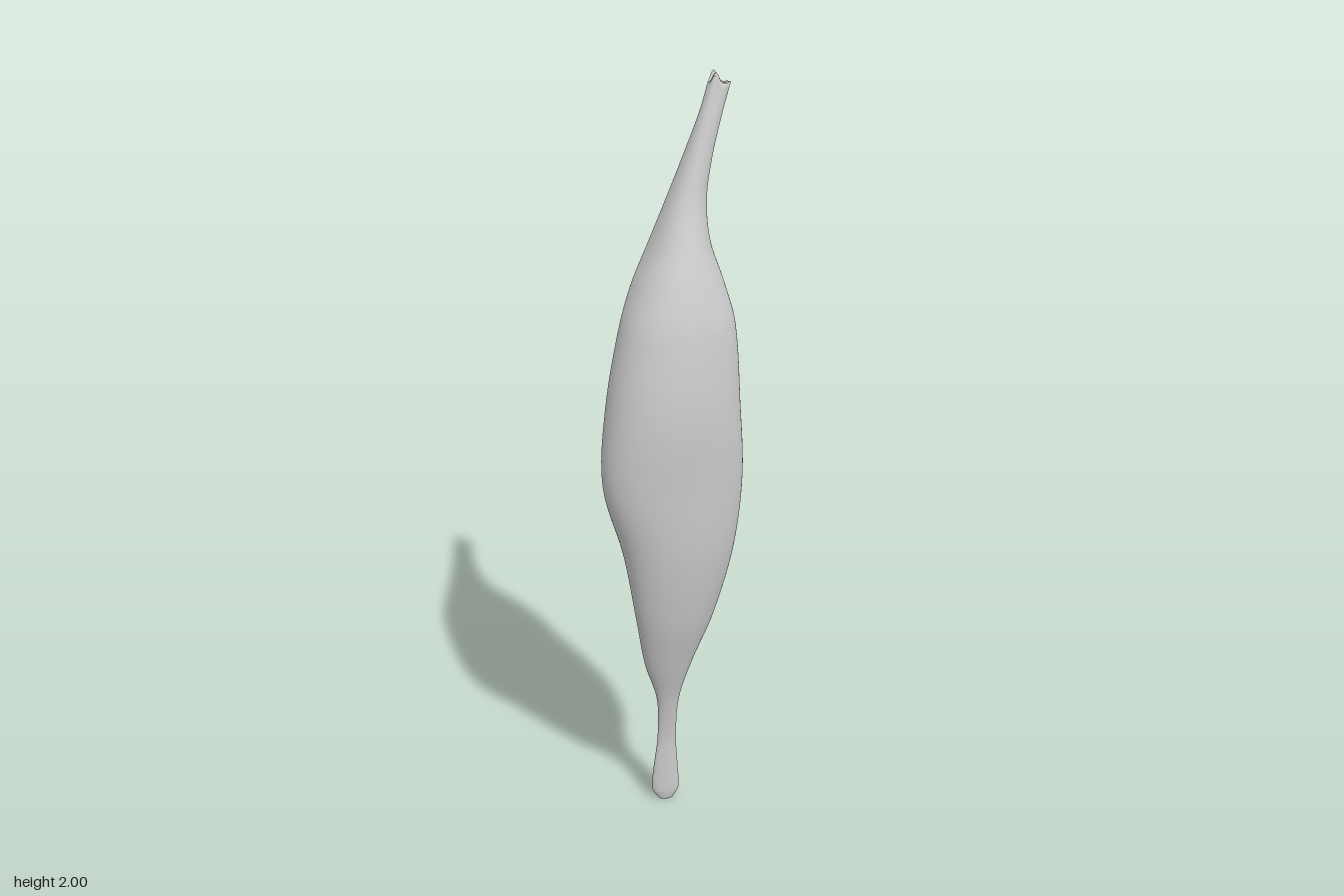
import * as THREE from 'three';

// Cross-sections: height, x of both edges, z of both edges,
// front bulge, back bulge, hollow in the back
const SECTIONS = [
  [0.0, -0.02, 0.018, -0.066, -0.066, 0.009, 0.009, 0],
  [0.03, -0.038, 0.034, -0.067, -0.067, 0.015, 0.015, 0],
  [0.1, -0.035, 0.031, -0.064, -0.064, 0.013, 0.014, 0],
  [0.2, -0.025, 0.025, -0.058, -0.058, 0.01, 0.01, 0],
  [0.33, -0.03, 0.03, -0.043, -0.043, 0.018, 0.014, 0],
  [0.45, -0.065, 0.061, -0.026, -0.028, 0.038, 0.026, 0],
  [0.6, -0.092, 0.116, -0.002, -0.018, 0.063, 0.038, 0],
  [0.8, -0.127, 0.162, 0.014, 0.0, 0.081, 0.05, 0],
  [1.0, -0.178, 0.179, 0.016, 0.012, 0.09, 0.05, 0.01],
  [1.2, -0.166, 0.171, 0.0, 0.008, 0.108, 0.034, 0.024],
  [1.4, -0.126, 0.161, -0.022, -0.012, 0.106, 0.03, 0.024],
  [1.5, -0.09, 0.137, -0.05, -0.035, 0.103, 0.023, 0.02],
  [1.6, -0.041, 0.106, -0.072, -0.05, 0.081, 0.018, 0.01],
  [1.7, 0.003, 0.1, -0.079, -0.065, 0.052, 0.019, 0],
  [1.8, 0.045, 0.116, -0.085, -0.077, 0.036, 0.016, 0],
  [1.9, 0.085, 0.144, -0.09, -0.094, 0.025, 0.013, 0],
  [1.97, 0.109, 0.167, -0.098, -0.106, 0.016, 0.01, 0],
];

// Smooth blend between neighbouring sections, allowing uneven spacing
function sectionAt(i, t) {
  const last = SECTIONS.length - 1;
  const at = (k) => SECTIONS[Math.max(0, Math.min(last, k))];
  const slope = (k, n) => (at(k + 1)[n] - at(k - 1)[n]) / (at(k + 1)[0] - at(k - 1)[0]);
  const a = at(i), b = at(i + 1), d = b[0] - a[0];
  const t2 = t * t, t3 = t2 * t;
  return a.map((v, n) => n === 0 ? v + d * t
    : v * (2 * t3 - 3 * t2 + 1) + b[n] * (3 * t2 - 2 * t3)
      + d * (slope(i, n) * (t3 - 2 * t2 + t) + slope(i + 1, n) * (t3 - t2)));
}

function bodyGeometry(sides = 64, steps = 6) {
  const positions = [], index = [];
  const rows = [];
  for (let i = 0; i < SECTIONS.length - 1; i++) {
    for (let s = 0; s < steps; s++) rows.push(sectionAt(i, s / steps));
  }
  rows.push(SECTIONS[SECTIONS.length - 1]);

  for (const [y, xl, xr, zl, zr, front, back, hollow] of rows) {
    const tipWeight = Math.max(0, (y - 1.92) / 0.05);
    // The belly's crest leans to one side
    const skew = 0.18 * THREE.MathUtils.smoothstep(y, 0.5, 1.1);
    for (let j = 0; j < sides; j++) {
      const angle = (j / sides) * Math.PI * 2;
      const u = Math.cos(angle), s = Math.sin(angle);
      const k = (u + 1) / 2;
      const edge = zl + (zr - zl) * k;
      const z = edge + (s > 0 ? s * front * (1 - skew * u) : s * back + s ** 4 * hollow);
      // Forked tip: one tall point, one short
      const lift = 0.03 * Math.exp(-(((u + 0.45) / 0.38) ** 2));
      positions.push(xl + (xr - xl) * k, y + tipWeight * lift, z);
    }
  }

  for (let r = 0; r < rows.length - 1; r++) {
    for (let j = 0; j < sides; j++) {
      const a = r * sides + j, b = r * sides + ((j + 1) % sides);
      index.push(a, a + sides, b, b, a + sides, b + sides);
    }
  }

  // Closed ends
  const bottom = positions.length / 3, top = bottom + 1;
  positions.push(-0.001, 0, -0.066, 0.146, 1.966, -0.101);
  const lastRow = (rows.length - 1) * sides;
  for (let j = 0; j < sides; j++) {
    const n = (j + 1) % sides;
    index.push(bottom, j, n, top, lastRow + n, lastRow + j);
  }

  const geometry = new THREE.BufferGeometry();
  geometry.setAttribute('position', new THREE.Float32BufferAttribute(positions, 3));
  geometry.setIndex(index);
  geometry.computeVertexNormals();
  return geometry;
}

export function createModel() {
  const grey = new THREE.MeshStandardMaterial({ color: 0xcccccc });
  grey.name = 'light grey';

  const body = new THREE.Mesh(bodyGeometry(), grey);
  body.name = 'spindleBody';

  const group = new THREE.Group();
  group.name = 'spindle';
  group.add(body);
  return group;
}
